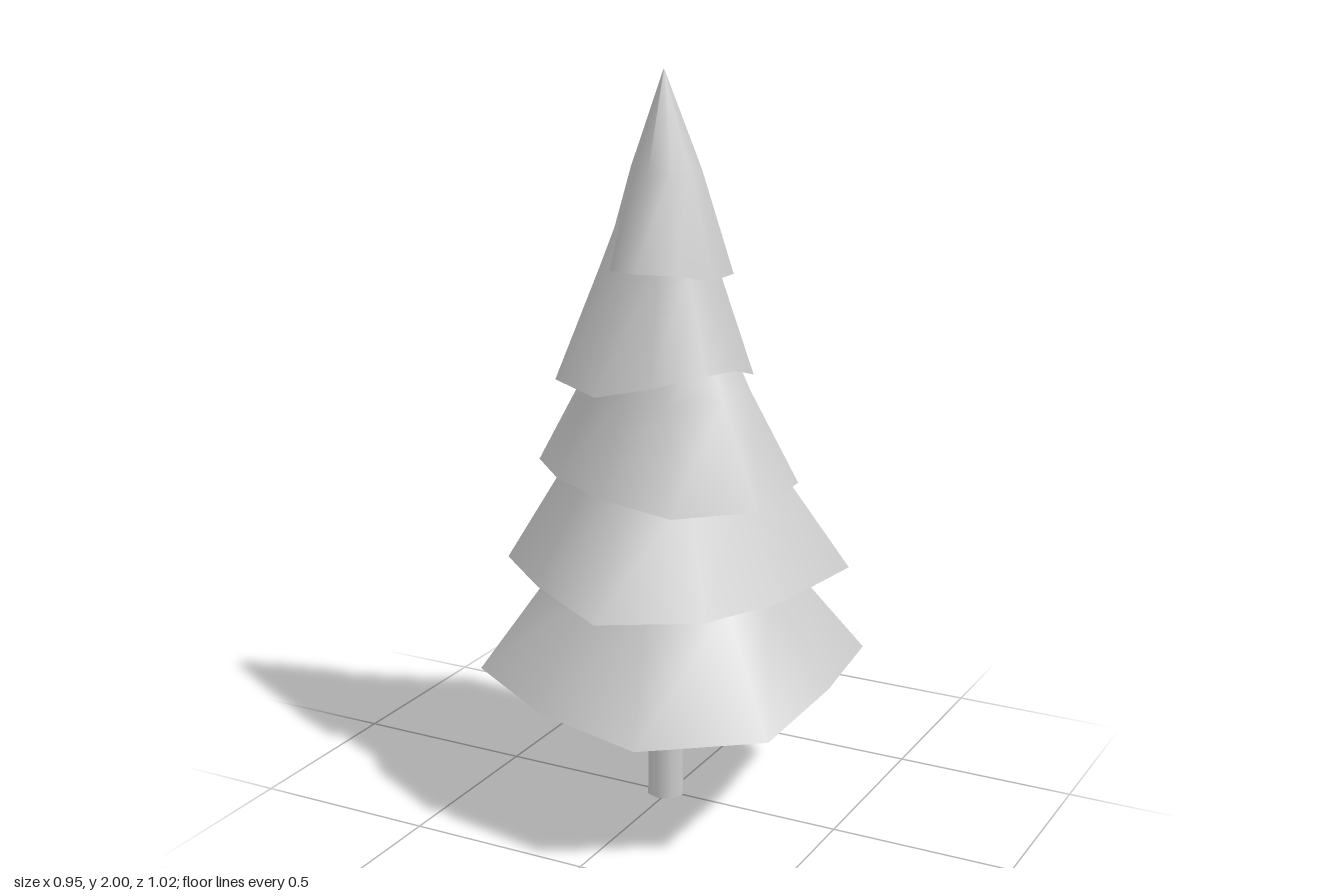
import * as THREE from 'three';

const foliage = new THREE.MeshStandardMaterial({ color: 0xcccccc, side: THREE.DoubleSide });
const bark = new THREE.MeshStandardMaterial({ color: 0xcccccc });
const AXIS_X = -0.015;
const STEP = 36; // degrees between rim corners

// Ten-sided rim: evenly turned corners with uneven radii, rising and dipping twice around
function makeRim({ y, turn, radii, wave, wavePhase }) {
  return radii.map((radius, i) => {
    const angle = THREE.MathUtils.degToRad(turn + STEP * i);
    const lift = wave * Math.cos(2 * angle + THREE.MathUtils.degToRad(wavePhase));
    return [radius * Math.cos(angle), y + lift, radius * Math.sin(angle)];
  });
}

// Flat copy of a rim, pulled towards the trunk axis
function shrink(rim, scale, y) {
  return rim.map(([x, , z]) => [AXIS_X + (x - AXIS_X) * scale, y, z * scale]);
}

// Smooth skin through closed rings, listed from inside/below to above
function loft(rings) {
  const n = rings[0].length;
  const index = [];
  for (let r = 0; r < rings.length - 1; r++) {
    for (let i = 0; i < n; i++) {
      const a = r * n + i;
      const b = r * n + (i + 1) % n;
      index.push(a, a + n, b, b, a + n, b + n);
    }
  }
  const geometry = new THREE.BufferGeometry();
  geometry.setAttribute('position', new THREE.Float32BufferAttribute(rings.flat(2), 3));
  geometry.setIndex(index);
  geometry.computeVertexNormals();
  return geometry;
}

// One tier: sloping outer skirt and a shallow underside open around the trunk
function makeTier({ name, upper, ...rimShape }) {
  const tier = new THREE.Group();
  tier.name = name;
  const rim = makeRim(rimShape);

  const skirt = new THREE.Mesh(loft([rim, ...upper.map(([s, y]) => shrink(rim, s, y))]), foliage);
  skirt.name = 'skirt';

  const underside = new THREE.Mesh(loft([shrink(rim, 0.3, rimShape.y + 0.12), rim]), foliage);
  underside.name = 'underside';

  tier.add(skirt, underside);
  return tier;
}

export function createModel() {
  const model = new THREE.Group();
  model.name = 'firTree';

  // Tiers from the ground up; upper holds [scale, height] of the rings above the rim
  model.add(
    makeTier({
      name: 'bottomTier', y: 0.385, turn: 0, wave: 0.022, wavePhase: 40,
      radii: [0.475, 0.56, 0.535, 0.47, 0.515, 0.48, 0.455, 0.445, 0.54, 0.545],
      upper: [[0.62, 0.66], [0.42, 0.82]],
    }),
    makeTier({
      name: 'lowerTier', y: 0.67, turn: 14, wave: 0.018, wavePhase: 90,
      radii: [0.39, 0.395, 0.475, 0.4, 0.44, 0.455, 0.4, 0.405, 0.38, 0.485],
      upper: [[0.64, 0.94], [0.43, 1.1]],
    }),
    makeTier({
      name: 'middleTier', y: 0.935, turn: 26, wave: 0.015, wavePhase: 92,
      radii: [0.38, 0.365, 0.305, 0.31, 0.37, 0.42, 0.38, 0.33, 0.32, 0.355],
      upper: [[0.64, 1.18], [0.45, 1.33]],
    }),
    makeTier({
      name: 'upperTier', y: 1.22, turn: 3, wave: 0.035, wavePhase: -60,
      radii: [0.2, 0.23, 0.215, 0.255, 0.3, 0.28, 0.21, 0.25, 0.29, 0.225],
      upper: [[0.58, 1.5], [0.42, 1.62]],
    }),
    makeTier({
      name: 'topTier', y: 1.493, turn: 19, wave: 0.014, wavePhase: 180,
      radii: [0.165, 0.15, 0.185, 0.165, 0.175, 0.2, 0.175, 0.14, 0.155, 0.17],
      upper: [[0.54, 1.75], [0.01, 2]],
    }),
  );

  // Trunk, reaching up inside the foliage
  const trunk = new THREE.Mesh(new THREE.CylinderGeometry(0.042, 0.052, 0.7, 8), bark);
  trunk.name = 'trunk';
  trunk.position.set(-0.01, 0.35, 0);
  model.add(trunk);

  return model;
}
